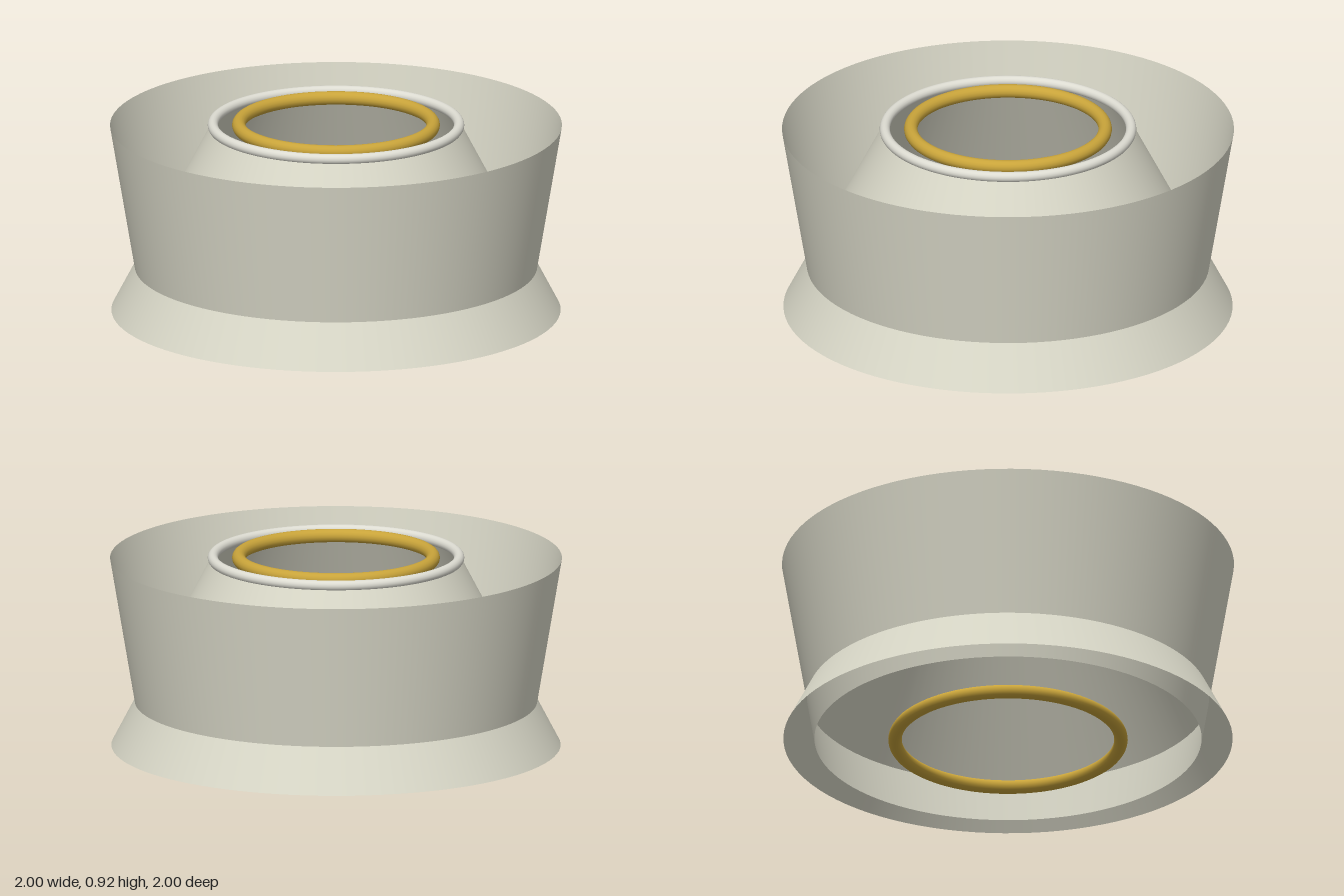
import * as THREE from 'three';

export function createModel() {
  const group = new THREE.Group();
  const shell = new THREE.MeshStandardMaterial({ color: 0xd9d8c8, side: THREE.DoubleSide });
  shell.name = 'warm ivory';
  const pale = new THREE.MeshStandardMaterial({ color: 0xdddcd2 });
  pale.name = 'pale ivory';
  const gold = new THREE.MeshStandardMaterial({ color: 0xc9a43a });
  gold.name = 'gold';

  const BOTTOM = 0.035, TOP = 0.885;

  function add(name, geometry, material, y) {
    const mesh = new THREE.Mesh(geometry, material);
    mesh.name = name;
    mesh.position.y = y;
    group.add(mesh);
  }

  // Open truncated cone between the two rim heights
  function cone(name, rTop, rBottom) {
    add(name, new THREE.CylinderGeometry(rTop, rBottom, TOP - BOTTOM, 96, 1, true), shell, (TOP + BOTTOM) / 2);
  }

  // Horizontal ring
  function ring(name, radius, tube, y, material) {
    add(name, new THREE.TorusGeometry(radius, tube, 16, 96).rotateX(Math.PI / 2), material, y);
  }

  // Two crossing cones: one narrows upward, the other widens upward
  cone('innerCone', 0.55, 0.994);
  cone('outerCone', 1.0, 0.857);

  // Rim rings
  ring('topRimRing', 0.545, 0.023, TOP, pale);
  ring('topGoldRing', 0.43, 0.03, TOP, gold);
  ring('bottomGoldRing', 0.5, 0.03, 0.03, gold);

  return group;
}
